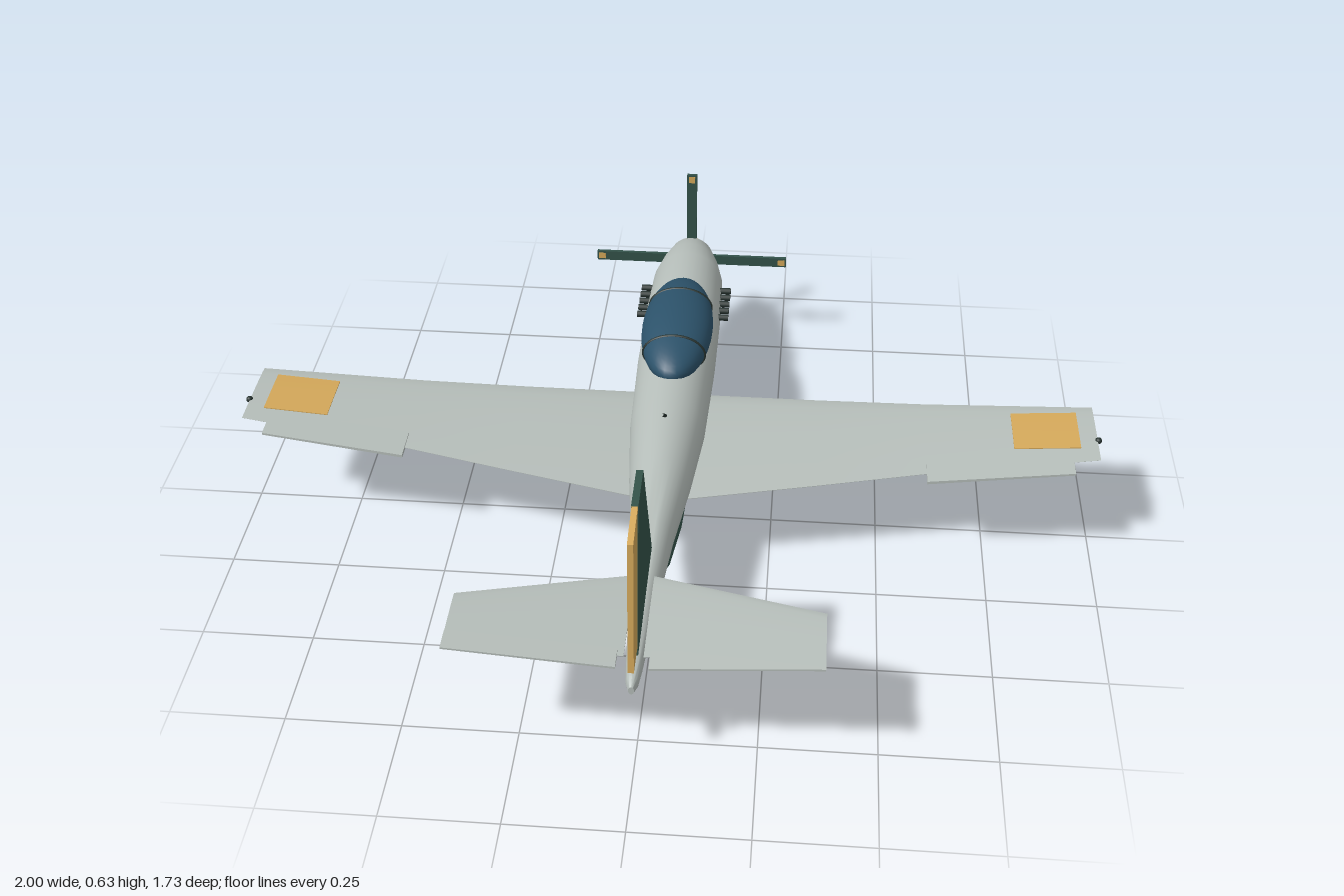
import * as THREE from 'three';
import { toCreasedNormals } from 'three/addons/utils/BufferGeometryUtils.js';

const mat = (color, side = THREE.FrontSide) => new THREE.MeshStandardMaterial({ color, side, roughness: 0.7 });
const SKIN = mat(0xb6beba), GREEN = mat(0x335249), GOLD = mat(0xd4a85a), GLASS = mat(0x2c526a), DARK = mat(0x26322f);

function add(parent, name, geometry, material, x = 0, y = 0, z = 0) {
  const mesh = new THREE.Mesh(geometry, material);
  mesh.name = name;
  mesh.position.set(x, y, z);
  parent.add(mesh);
  return mesh;
}

// Closed skin through equal-length rings of [x, y, z], wound so that it faces outward
function loft(rings, crease = 0.6) {
  const n = rings[0].length, pos = rings.flat(2), index = [];
  for (let i = 0; i < rings.length - 1; i++) {
    for (let j = 0; j < n; j++) {
      const a = i * n + j, b = i * n + (j + 1) % n;
      index.push(a, b, b + n, a, b + n, a + n);
    }
  }
  const last = (rings.length - 1) * n;
  for (let j = 1; j < n - 1; j++) index.push(0, j + 1, j, last, last + j, last + j + 1);
  const p = (i) => new THREE.Vector3().fromArray(pos, index[i] * 3);
  let volume = 0;
  for (let i = 0; i < index.length; i += 3) volume += p(i).dot(p(i + 1).cross(p(i + 2)));
  if (volume < 0) index.reverse();
  const g = new THREE.BufferGeometry();
  g.setAttribute('position', new THREE.Float32BufferAttribute(pos, 3));
  g.setIndex(index);
  return toCreasedNormals(g, crease);
}

// Body of elliptical sections: [z, bottom, top, half width]
const body = (sections, n = 32) => loft(sections.map(([z, lo, hi, w]) =>
  Array.from({ length: n }, (_, i) => {
    const a = (i / n) * Math.PI * 2;
    return [Math.cos(a) * w, (lo + hi) / 2 + Math.sin(a) * (hi - lo) / 2, z];
  })));

// Half thickness of an airfoil along its chord, 0 at the nose and 1 at the tail
const foil = (u) => 2.6 * (0.297 * Math.sqrt(u) - 0.126 * u - 0.352 * u * u + 0.284 * u ** 3 - 0.1 * u ** 4) * 1.9 + 0.02;

// Airfoil surface through stations [x, leading z, trailing z, y, half thickness]
const airfoil = (stations, s) => loft(stations.map(([x, z0, z1, y, t]) => {
  const us = [0, 0.04, 0.12, 0.25, 0.4, 0.6, 0.8, 1];
  const at = (u, k) => [x * s, y + k * t * foil(u), z0 + (z1 - z0) * u];
  return [...us.map((u) => at(u, 1)), ...us.slice().reverse().map((u) => at(u, -1))];
}));

// Thin plate through stations [x, front z, rear z, y, thickness]
const plate = (stations, s) => loft(stations.map(([x, z0, z1, y, t]) => [
  [x * s, y + t / 2, z0], [x * s, y + t / 4, z1], [x * s, y - t / 4, z1], [x * s, y - t / 2, z0]]), 0.3);

const WING = [
  [0, -0.19, 0.225, 0.222, 0.022], [0.08, -0.187, 0.215, 0.226, 0.021], [0.35, -0.172, 0.162, 0.237, 0.016],
  [0.6, -0.157, 0.115, 0.251, 0.012], [0.99, -0.13, 0.075, 0.284, 0.005]];

function wingTop(x, z) {
  const [a, b] = WING.slice(3);
  const [, z0, z1, y, t] = a.map((v, i) => v + (b[i] - v) * (x - a[0]) / (b[0] - a[0]));
  return y + t * foil((z - z0) / (z1 - z0));
}

// Upright plate drawn in (z, y)
function uprightPlate(points, t) {
  const shape = new THREE.Shape(points.map(([z, y]) => new THREE.Vector2(z, y)));
  return new THREE.ExtrudeGeometry(shape, { depth: t, bevelEnabled: false }).rotateY(-Math.PI / 2).translate(t / 2, 0, 0);
}

function rod(a, b, r) {
  return new THREE.TubeGeometry(new THREE.LineCurve3(new THREE.Vector3(...a), new THREE.Vector3(...b)), 1, r, 8);
}

export function createModel() {
  const plane = new THREE.Group();
  plane.name = 'airplane';

  // Fuselage and spinner
  add(plane, 'fuselage', body([
    [-0.815, 0.213, 0.297, 0.04], [-0.78, 0.19, 0.317, 0.058], [-0.72, 0.173, 0.334, 0.076], [-0.65, 0.16, 0.347, 0.09],
    [-0.5, 0.157, 0.349, 0.095], [-0.25, 0.159, 0.347, 0.095], [0, 0.163, 0.341, 0.088], [0.2, 0.176, 0.328, 0.07],
    [0.4, 0.197, 0.309, 0.046], [0.6, 0.214, 0.294, 0.03], [0.8, 0.228, 0.278, 0.017], [0.84, 0.233, 0.272, 0.013],
    [0.862, 0.243, 0.262, 0.006]]), SKIN);
  add(plane, 'spinner', new THREE.LatheGeometry(
    [[0.041, 0], [0.034, 0.017], [0.02, 0.036], [0.008, 0.048], [0, 0.052]].map((p) => new THREE.Vector2(...p)), 24)
    .rotateX(-Math.PI / 2), GOLD, 0, 0.254, -0.814);

  // Propeller with four tipped blades
  const propeller = new THREE.Group();
  propeller.name = 'propeller';
  propeller.position.set(0, 0.253, -0.78);
  plane.add(propeller);
  for (let i = 0; i < 4; i++) {
    const blade = new THREE.Group();
    blade.name = 'blade';
    blade.rotation.z = i * Math.PI / 2;
    add(blade, 'bladeBody', new THREE.BoxGeometry(0.026, 0.253, 0.009), GREEN, 0, 0.1265, 0);
    add(blade, 'bladeTip', new THREE.BoxGeometry(0.016, 0.018, 0.012), GOLD, 0, 0.24, 0);
    propeller.add(blade);
  }

  // Canopy with two hoops
  add(plane, 'canopy', new THREE.SphereGeometry(1, 36, 24).scale(0.086, 0.06, 0.215), GLASS, 0, 0.345, -0.295);
  for (const z of [-0.395, -0.185]) {
    const k = Math.sqrt(1 - ((z + 0.295) / 0.215) ** 2);
    const hoop = add(plane, 'canopyFrame', new THREE.TorusGeometry(1, 0.045, 6, 40), DARK, 0, 0.345, z);
    hoop.scale.set(0.086 * k, 0.06 * k, 0.09);
  }

  // Belly scoop
  add(plane, 'bellyScoop', body([
    [0.03, 0.143, 0.21, 0.05], [0.08, 0.13, 0.215, 0.055], [0.145, 0.119, 0.215, 0.056], [0.24, 0.125, 0.215, 0.053],
    [0.38, 0.145, 0.21, 0.038], [0.41, 0.16, 0.205, 0.03], [0.42, 0.175, 0.2, 0.024]], 24), GREEN);

  // Aerial mast
  add(plane, 'aerial', rod([0, 0.335, 0.055], [0, 0.41, 0.155], 0.004), DARK);

  // Fin and rudder
  add(plane, 'fin', uprightPlate([[0.48, 0.295], [0.645, 0.632], [0.75, 0.626], [0.79, 0.26], [0.6, 0.27]], 0.014), GREEN);
  add(plane, 'rudder', uprightPlate([[0.75, 0.626], [0.84, 0.606], [0.862, 0.3], [0.786, 0.3]], 0.012), GOLD);

  for (const s of [1, -1]) {
    const side = new THREE.Group();
    side.name = s > 0 ? 'leftSide' : 'rightSide';
    plane.add(side);

    // Wing, aileron, wingtip light
    add(side, 'wing', airfoil(WING, s), SKIN);
    add(side, 'aileron', plate([[0.6, 0.06, 0.147, 0.25, 0.014], [0.93, 0.045, 0.125, 0.278, 0.01]], s), SKIN);
    add(side, 'wingtipLight', new THREE.SphereGeometry(0.008, 12, 8), DARK, s * 0.992, 0.284, 0);

    // Painted panel that follows the wing's upper skin
    const zs = Array.from({ length: 9 }, (_, i) => -0.105 + i * 0.135 / 8);
    add(side, 'wingPanel', loft([0.8, 0.95].map((x) => [
      ...zs.map((z) => [x * s, wingTop(x, z) + 0.002, z]),
      ...zs.slice().reverse().map((z) => [x * s, wingTop(x, z) - 0.002, z])])), GOLD);

    // Tailplane and elevator
    add(side, 'tailplane', airfoil([[0.02, 0.566, 0.81, 0.294, 0.009], [0.378, 0.682, 0.81, 0.321, 0.005]], s), SKIN);
    add(side, 'elevator', plate([[0.033, 0.795, 0.845, 0.295, 0.01], [0.378, 0.795, 0.845, 0.321, 0.008]], s), SKIN);

    // Exhaust stubs
    for (let i = 0; i < 5; i++) {
      add(side, 'exhaustStub', new THREE.CylinderGeometry(0.008, 0.008, 0.035, 12).rotateZ(Math.PI / 2), DARK,
        s * 0.098, 0.273, -0.59 + i * 0.0315);
    }
  }
  return plane;
}
